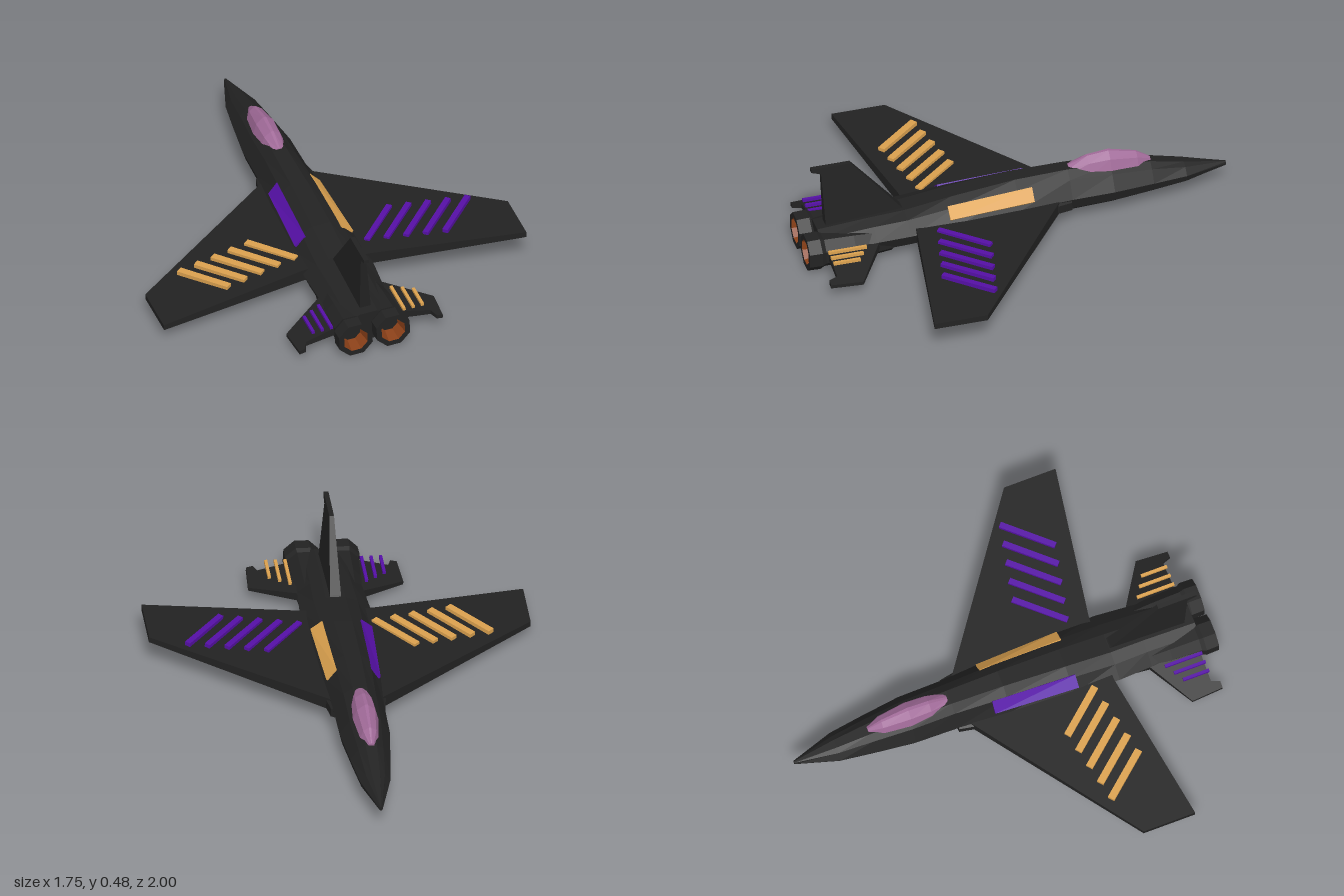
import * as THREE from 'three';

const mat = (color) => new THREE.MeshStandardMaterial({ color, flatShading: true, side: THREE.DoubleSide });
const dark = mat(0x222222), purple = mat(0x5510a5), orange = mat(0xdaa04e);
const glass = mat(0xa06a98), ember = mat(0x8a4018);

function add(parent, name, geometry, material) {
  const mesh = new THREE.Mesh(geometry, material);
  mesh.name = name;
  parent.add(mesh);
  return mesh;
}

// Skin over rings of [x, y] points, counter-clockwise seen from +z, z rising
function loft(rings) {
  const n = rings[0].pts.length, pos = [], idx = [];
  for (const { z, pts } of rings) for (const [x, y] of pts) pos.push(x, y, z);
  for (let i = 0; i < rings.length - 1; i++) {
    for (let j = 0; j < n; j++) {
      const a = i * n + j, b = i * n + (j + 1) % n;
      idx.push(a, b, a + n, b, b + n, a + n);
    }
  }
  const last = (rings.length - 1) * n;
  for (let j = 1; j < n - 1; j++) idx.push(0, j + 1, j, last, last + j, last + j + 1);
  const g = new THREE.BufferGeometry();
  g.setAttribute('position', new THREE.Float32BufferAttribute(pos, 3));
  g.setIndex(idx);
  g.computeVertexNormals();
  return g;
}

// Mirror the right half of a ring, given from bottom to top
const symmetric = (half) => [...half, ...half.map(([x, y]) => [-x, y]).reverse()];

// Flat outline thickened by a rule; place(u, v, w) has w from -0.5 to 0.5
function slab(outline, place) {
  const shape = new THREE.Shape(outline.map(([u, v]) => new THREE.Vector2(u, v)));
  const g = new THREE.ExtrudeGeometry(shape, { depth: 1, bevelEnabled: false });
  const p = g.attributes.position;
  for (let i = 0; i < p.count; i++) p.setXYZ(i, ...place(p.getX(i), p.getY(i), p.getZ(i) - 0.5));
  g.computeVertexNormals();
  return g;
}

// Thin bar lying flat between two [x, z] points
function stripe(parent, name, [x0, z0], [x1, z1], y, width, height, material) {
  const bar = add(parent, name, new THREE.BoxGeometry(width, height, Math.hypot(x1 - x0, z1 - z0)), material);
  bar.position.set((x0 + x1) / 2, y, (z0 + z1) / 2);
  bar.rotation.y = Math.atan2(x1 - x0, z1 - z0);
}

export function createModel() {
  const model = new THREE.Group();
  model.name = 'jetAircraft';
  // The aircraft banks slightly
  const jet = new THREE.Group();
  jet.name = 'airframe';
  jet.rotation.z = 0.051;
  jet.position.x = 0.006;
  model.add(jet);

  // Fuselage: z, half width, top, side and bottom heights
  const body = [
    [-1, 0.008, 0.14, 0.13, 0.12],
    [-0.8, 0.07, 0.187, 0.14, 0.09],
    [-0.64, 0.092, 0.225, 0.145, 0.078],
    [-0.45, 0.115, 0.25, 0.15, 0.066],
    [-0.25, 0.118, 0.262, 0.15, 0.06],
    [0, 0.135, 0.258, 0.15, 0.06],
    [0.3, 0.155, 0.23, 0.14, 0.05],
    [0.52, 0.162, 0.2, 0.13, 0.04],
    [0.68, 0.152, 0.19, 0.12, 0.03],
    [0.93, 0.15, 0.172, 0.1, 0.025],
  ].map(([z, w, top, side, bot]) => ({
    z,
    pts: symmetric([
      [w * 0.5, bot], [w * 0.88, bot + (side - bot) * 0.4], [w, side],
      [w * 0.62, top - (top - side) * 0.3], [w * 0.28, top],
    ]),
  }));
  add(jet, 'fuselage', loft(body), dark);

  // Canopy: z, half width, base and top heights
  const canopy = [
    [-0.645, 0.015, 0.22, 0.236],
    [-0.58, 0.045, 0.215, 0.278],
    [-0.45, 0.063, 0.215, 0.31],
    [-0.35, 0.058, 0.22, 0.3],
    [-0.26, 0.036, 0.235, 0.265],
  ].map(([z, w, base, top]) => ({
    z,
    pts: symmetric([[w, base], [w * 0.66, base + (top - base) * 0.7], [w * 0.12, top]]),
  }));
  add(jet, 'canopy', loft(canopy), glass);

  // Tail fin
  const finOutline = [[0.5, 0.18], [0.53, 0.205], [0.76, 0.482], [0.945, 0.482], [0.945, 0.465], [0.9, 0.45], [0.885, 0.16]];
  add(jet, 'tailFin', slab(finOutline, (z, y, w) => {
    const t = THREE.MathUtils.mapLinear(y, 0.16, 0.48, 0.055, 0.022);
    return [-w * t, y, z];
  }), dark);

  const wingOutline = [[0.08, -0.22], [0.13, -0.18], [0.873, 0.36], [0.873, 0.61], [0.165, 0.495], [0.08, 0.49]];
  const tailOutline = [[0.1, 0.65], [0.15, 0.67], [0.355, 0.8], [0.345, 0.95], [0.315, 0.95], [0.3, 0.91], [0.1, 0.91]];

  for (const s of [1, -1]) {
    const side = s > 0 ? 'left' : 'right';
    const flip = (pts) => pts.map(([x, v]) => [x * s, v]);

    // Main wing, thinning towards the tip
    add(jet, side + 'Wing', slab(flip(wingOutline), (x, z, w) => {
      const t = THREE.MathUtils.mapLinear(Math.abs(x), 0.08, 0.873, 0.06, 0.027);
      return [x, 0.124 - w * t, z];
    }), dark);

    // Drooping tailplane
    add(jet, side + 'Tailplane', slab(flip(tailOutline), (x, z, w) => {
      const k = (Math.abs(x) - 0.1) / 0.255;
      return [x, 0.11 - 0.052 * k - w * (0.045 - 0.029 * k), z];
    }), dark);

    // Air intake lip beside the body
    const intake = [[-0.245, 0.124], [-0.18, 0.136], [0.1, 0.142]].map(([z, x]) => {
      const pts = flip([[x - 0.04, 0.085], [x, 0.1], [x, 0.14], [x - 0.04, 0.16]]);
      return { z, pts: s > 0 ? pts : pts.reverse() };
    });
    add(jet, side + 'Intake', loft(intake), dark);

    // Coloured panel on the shoulder of the body
    const panel = [[-0.07, 0.08, 0.232, 0.125, 0.18], [0.33, 0.09, 0.212, 0.142, 0.17]].map(([z, xa, ya, xb, yb]) => {
      const pts = flip([[xb, yb], [xa, ya], [xa - 0.012, ya - 0.02], [xb - 0.018, yb - 0.02]]);
      return { z, pts: s > 0 ? pts : pts.reverse() };
    });
    add(jet, side + 'ShoulderPanel', loft(panel), s > 0 ? orange : purple);

    // Diagonal wing stripes
    for (let i = 0; i < 5; i++) {
      const dx = 0.0875 * i, dz = 0.019 * i;
      const inner = s > 0 ? 0.18 : 0.16, outer = s > 0 ? 0.36 : 0.33;
      stripe(jet, side + 'WingStripe', [s * (inner + dx), 0.4 + dz], [s * (outer + dx), 0.2 + dz],
        0.152, s > 0 ? 0.027 : 0.033, 0.02, s > 0 ? purple : orange);
    }

    // Straight tailplane stripes
    for (let i = 0; i < 3; i++) {
      const x = s * (0.175 + 0.044 * i);
      stripe(jet, side + 'TailStripe', [x, 0.735 + 0.027 * i], [x, 0.915], 0.127, 0.014, 0.014, s > 0 ? orange : purple);
    }

    // Eight-sided engine with a glowing recessed exhaust
    const engine = new THREE.Group();
    engine.name = side + 'Engine';
    engine.position.set(s * 0.09, 0.092, 0);
    jet.add(engine);
    const turned = (pts) => new THREE.LatheGeometry(pts.map(([r, z]) => new THREE.Vector2(r, z)), 8)
      .rotateX(Math.PI / 2).rotateZ(Math.PI / 8);
    add(engine, 'nozzle', turned([[0.055, 0.6], [0.072, 0.78], [0.078, 0.92], [0.088, 0.94], [0.086, 1], [0.06, 1]]), dark);
    add(engine, 'exhaust', turned([[0.06, 1], [0.045, 0.92], [0, 0.9]]), ember);
  }
  return model;
}
